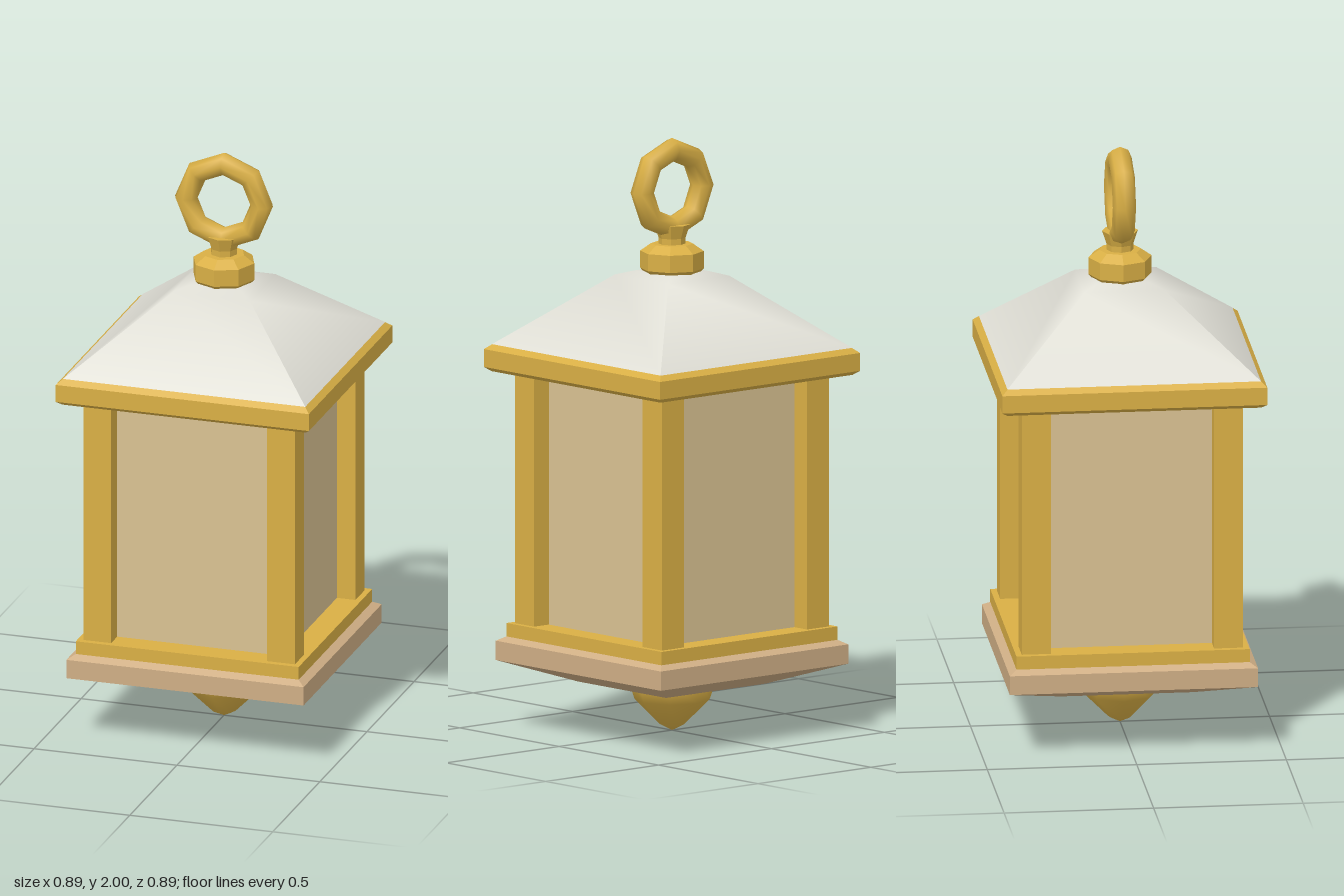
import * as THREE from 'three';

const mat = (name, color, extra = {}) => {
  const m = new THREE.MeshStandardMaterial({ color, ...extra });
  m.name = name;
  return m;
};

// Square loft from [halfWidth, y] steps, listed bottom to top, with flat faces
function squareLoft(steps) {
  const points = steps.map(([h, y]) => new THREE.Vector2(h * Math.SQRT2, y));
  const geo = new THREE.LatheGeometry(points, 4, Math.PI / 4).toNonIndexed();
  geo.computeVertexNormals();
  return geo;
}

// Rounds the shading of the vertices chosen by height
function soften(geo, test, spread, up) {
  const p = geo.attributes.position, n = geo.attributes.normal;
  const v = new THREE.Vector3();
  for (let i = 0; i < p.count; i++) {
    if (!test(p.getY(i))) continue;
    v.set(p.getX(i) * spread, up, p.getZ(i) * spread).normalize();
    n.setXYZ(i, v.x, v.y, v.z);
  }
  return geo;
}

// Eight-sided turned part from [radius, y] steps, listed bottom to top
function turned(steps, flat) {
  const geo = new THREE.LatheGeometry(steps.map(([r, y]) => new THREE.Vector2(r, y)), 8);
  if (!flat) return geo;
  const sharp = geo.toNonIndexed();
  sharp.computeVertexNormals();
  return sharp;
}

export function createModel() {
  const group = new THREE.Group();
  group.name = 'lantern';
  const gold = mat('gold', 0xd9af45);
  const glass = mat('frosted glass', 0xd9c292);
  const roofWhite = mat('roof white', 0xdfded5);
  const tan = mat('tan base', 0xcfae85);

  const add = (name, geo, material, x = 0, y = 0, z = 0) => {
    const mesh = new THREE.Mesh(geo, material);
    mesh.name = name;
    mesh.position.set(x, y, z);
    group.add(mesh);
    return mesh;
  };

  // Finial under the base
  add('finial', turned([[0, 0.005], [0.04, 0.025], [0.125, 0.11], [0.147, 0.175], [0.12, 0.23]]), gold);

  // Base with tapered underside
  const base = squareLoft([[0, 0.165], [0.22, 0.165], [0.415, 0.235], [0.415, 0.3], [0.39, 0.315], [0, 0.315]]);
  add('base', soften(base, y => y < 0.2, 0.7, -1), tan);
  add('tray', new THREE.BoxGeometry(0.78, 0.047, 0.78), gold, 0, 0.3365, 0);

  // Glass body and corner posts
  add('glassPanels', new THREE.BoxGeometry(0.61, 0.87, 0.61), glass, 0, 0.785, 0);
  const postGeo = new THREE.BoxGeometry(0.097, 0.87, 0.097);
  for (const x of [-1, 1]) for (const z of [-1, 1]) {
    add('cornerPost', postGeo, gold, x * 0.3215, 0.785, z * 0.3215);
  }

  // Eaves rim and roof
  add('eaves', squareLoft([[0, 1.208], [0.425, 1.208], [0.443, 1.222], [0.443, 1.282], [0.422, 1.3], [0, 1.3]]), gold);
  const roof = squareLoft([[0.424, 1.299], [0.135, 1.538], [0.09, 1.552], [0, 1.552]]);
  add('roof', soften(roof, y => y > 1.5, 2.4, 0.78), roofWhite);

  // Cap and flared neck
  add('cap', turned([[0, 1.55], [0.095, 1.55], [0.106, 1.562], [0.106, 1.62], [0.07, 1.645], [0, 1.645]], true), gold);
  add('neck', turned([[0.045, 1.64], [0.045, 1.665], [0.06, 1.71], [0, 1.71]], true), gold);

  // Hanging ring
  add('hangingRing', new THREE.TorusGeometry(0.132, 0.039, 8, 8), gold, 0, 1.829, 0);

  return group;
}
